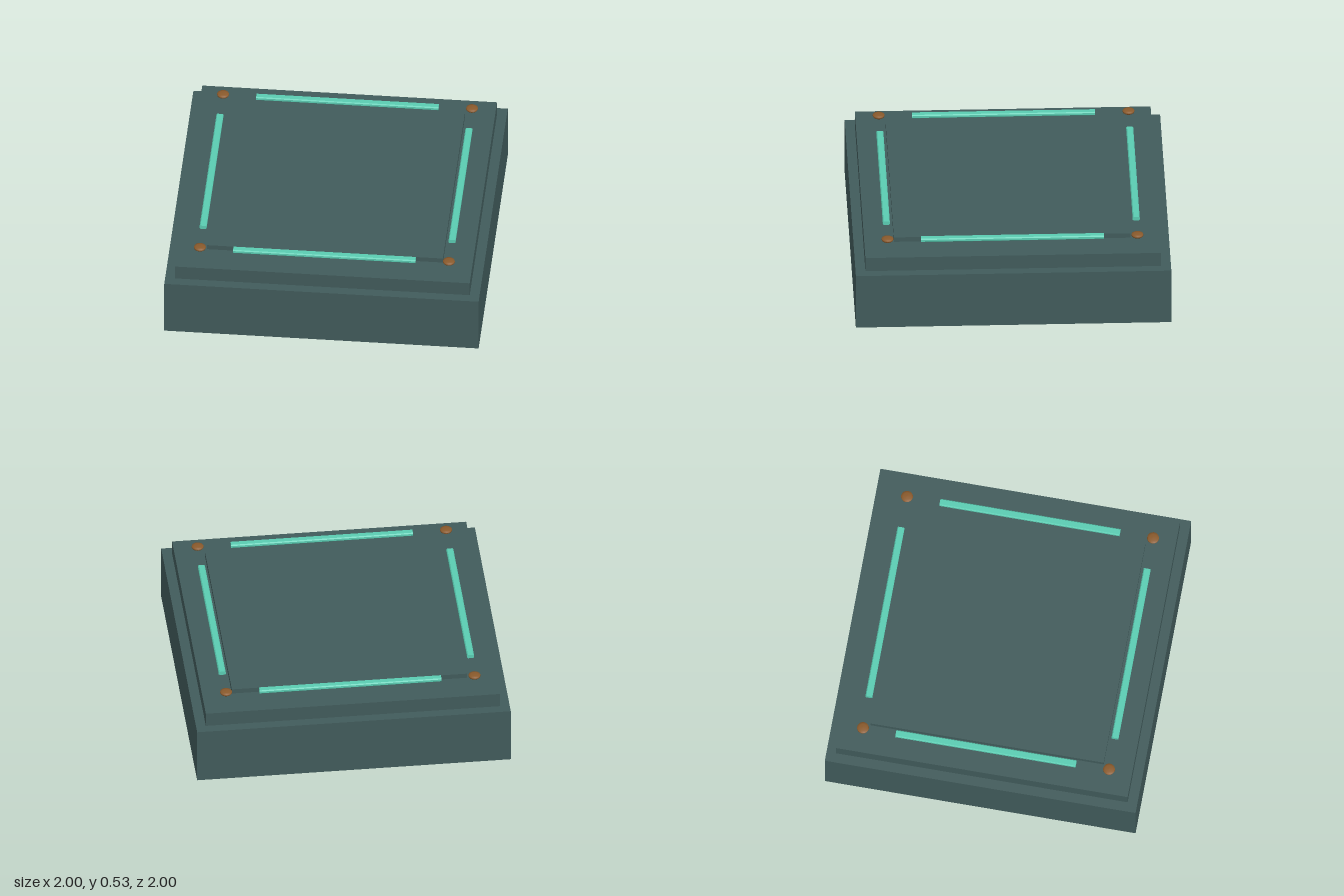
import * as THREE from 'three';

export function createModel() {
  const model = new THREE.Group();
  model.name = 'steppedPlatform';

  const stone = new THREE.MeshStandardMaterial({ color: 0x415b5b });
  stone.name = 'dark slate';
  const glow = new THREE.MeshStandardMaterial({ color: 0x5accb2 });
  glow.name = 'mint';
  const bronze = new THREE.MeshStandardMaterial({ color: 0x8a5a2c });
  bronze.name = 'bronze';

  const add = (name, geometry, material) => {
    const mesh = new THREE.Mesh(geometry, material);
    mesh.name = name;
    model.add(mesh);
    return mesh;
  };

  // Square tiers: name, width, bottom, top
  for (const [name, width, bottom, top] of [
    ['base', 2, 0, 0.375],
    ['upperStep', 1.875, 0.375, 0.47],
    ['topPlate', 1.5, 0.478, 0.51],
  ]) {
    add(name, new THREE.BoxGeometry(width, top - bottom, width), stone)
      .position.y = (bottom + top) / 2;
  }

  // Light strip with chamfered edges, running along x and centred
  const length = 1.16, w = 0.0225, h = 0.0125, c = 0.006;
  const section = new THREE.Shape([
    [-w, -h + c], [-w + c, -h], [w - c, -h], [w, -h + c],
    [w, h - c], [w - c, h], [-w + c, h], [-w, h - c],
  ].map(([x, y]) => new THREE.Vector2(x, y)));
  const strip = new THREE.ExtrudeGeometry(section, { depth: length, bevelEnabled: false });
  strip.translate(0, 0, -length / 2);
  strip.rotateY(Math.PI / 2);

  // Domed stud that narrows to its foot
  const stud = new THREE.LatheGeometry([
    [0, 0], [0.024, 0], [0.036, 0.009], [0.038, 0.014],
    [0.037, 0.022], [0.022, 0.026], [0, 0.027],
  ].map(([x, y]) => new THREE.Vector2(x, y)), 16);

  // One strip per side and one stud per corner
  const reach = 0.792;
  for (let i = 0; i < 4; i++) {
    const angle = i * Math.PI / 2;
    const bar = add('lightStrip', strip, glow);
    bar.rotation.y = angle;
    bar.position.set(Math.sin(angle) * reach, 0.518, Math.cos(angle) * reach);
    add('cornerStud', stud, bronze)
      .position.set(i % 2 ? reach : -reach, 0.507, i < 2 ? reach : -reach);
  }
  return model;
}
